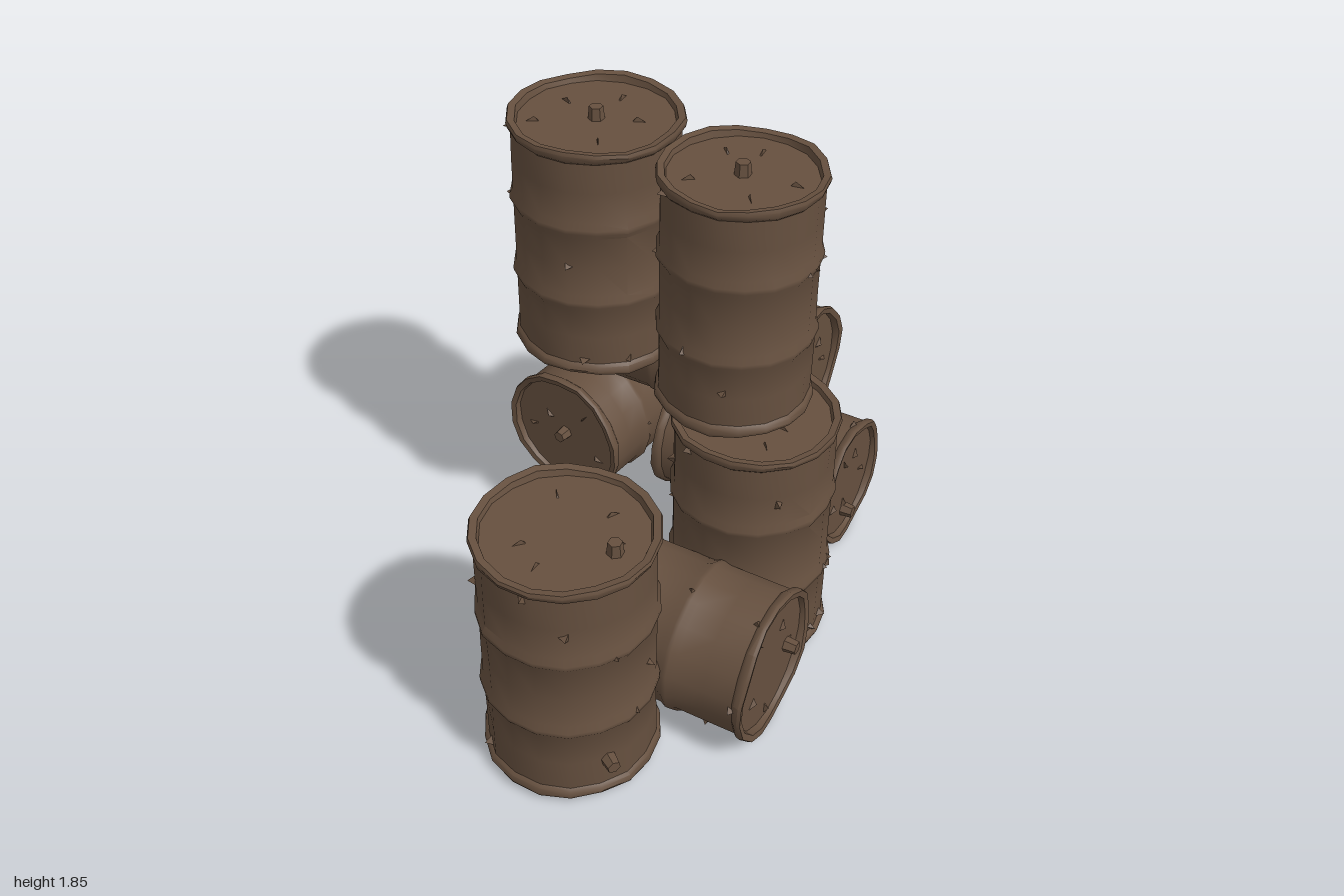
import * as THREE from 'three';
import { toCreasedNormals } from 'three/addons/utils/BufferGeometryUtils.js';

const rust = new THREE.MeshStandardMaterial({ color: 0x66503f });
rust.name = 'rustBrown';

const UP = new THREE.Vector3(0, 1, 0);

function seeded(seed) {
  let s = seed * 7919 + 13;
  return () => {
    s = (s * 16807) % 2147483647;
    return s / 2147483647;
  };
}

// Hollow-lidded drum with rims, two rolling hoops and slight dents; y runs from -h/2 to h/2
function drumGeometry(r, h, seed) {
  const t = h / 2, b = r * 0.95, lid = 0.025;
  const half = [
    [0, lid], [b * 0.5, lid], [b * 0.93, lid], [b * 0.95, 0.004], [r * 0.985, 0], [r, 0.012],
    [r * 0.985, 0.03], [b, 0.04], [b, h * 0.17], [b, h / 3 - 0.03], [r * 0.99, h / 3 - 0.008],
    [r * 0.99, h / 3 + 0.008], [b, h / 3 + 0.03],
  ];
  const points = half.map(([x, y]) => new THREE.Vector2(x, y - t));
  points.push(new THREE.Vector2(b, 0));
  for (const [x, y] of [...half].reverse()) points.push(new THREE.Vector2(x, t - y));
  const geo = new THREE.LatheGeometry(points, 18);
  const p = geo.attributes.position;
  for (let i = 0; i < p.count; i++) {
    const x = p.getX(i), y = p.getY(i), z = p.getZ(i), d = Math.hypot(x, z);
    if (d < 0.01) continue;
    const a = Math.atan2(x, z);
    const dent = Math.sin(a * 3 + seed + y * 7) * Math.sin(a * 5 - seed * 2 + y * 4);
    const k = 1 - 0.014 * Math.max(0, dent) + 0.006 * Math.sin(a * 7 + seed);
    const lift = Math.abs(y) > t - 0.02 ? 0.005 * Math.sin(a * 4 + seed * 3) : 0;
    p.setXYZ(i, x * k, y + lift, z * k);
  }
  geo.deleteAttribute('normal');
  geo.deleteAttribute('uv');
  return toCreasedNormals(geo, 0.65);
}

const bungGeo = new THREE.CylinderGeometry(0.024, 0.03, 0.06, 6).toNonIndexed();
bungGeo.computeVertexNormals();
const shardGeo = new THREE.ConeGeometry(0.032, 0.05, 3).toNonIndexed();
shardGeo.computeVertexNormals();

function addPart(parent, geo, name, pos, normal, spin = 0, scale = [1, 1, 1]) {
  const m = new THREE.Mesh(geo, rust);
  m.name = name;
  m.position.copy(pos);
  m.quaternion.setFromUnitVectors(UP, normal);
  m.rotateY(spin);
  m.scale.set(...scale);
  parent.add(m);
}

function makeBarrel({ name, r, h, at, dir = [0, 1, 0], lidBungs = [], sideBungs = [] }, seed) {
  const g = new THREE.Group();
  g.name = name;
  const rand = seeded(seed);
  const body = new THREE.Mesh(drumGeometry(r, h, seed), rust);
  body.name = 'drum';
  g.add(body);

  // Bungs on the lids [x, z, end] and on the side [x, z, height]
  for (const [x, z, end] of lidBungs)
    addPart(g, bungGeo, 'lidBung', new THREE.Vector3(x, end * (h / 2 - 0.01), z), new THREE.Vector3(0, end, 0), seed);
  for (const [x, z, y] of sideBungs) {
    const n = new THREE.Vector3(x, 0, z).normalize();
    addPart(g, bungGeo, 'sideBung', n.clone().multiplyScalar(r * 0.98).setY(y - h / 2), n, seed);
  }

  // Torn metal flakes on the side, near hoops and rims
  for (let i = 0; i < 11; i++) {
    const a = (i + rand() * 0.8) * 2.4;
    const n = new THREE.Vector3(Math.sin(a), 0, Math.cos(a));
    const row = [0.06, 0.2, 0.34, 0.5, 0.66, 0.8, 0.95][Math.floor(rand() * 7)];
    const pos = n.clone().multiplyScalar(r * 0.955).setY((row - 0.5) * h);
    addPart(g, shardGeo, 'sideFlake', pos, n, rand() * 6, [0.5 + rand() * 0.5, 0.8, 1]);
  }
  // Thin radial tears on both lids
  for (const end of [1, -1]) {
    if (end < 0 && dir[1] === 1) continue;
    for (let i = 0; i < 5; i++) {
      const a = i * 1.26 + rand() * 0.7, d = r * (0.3 + rand() * 0.45);
      const pos = new THREE.Vector3(Math.sin(a) * d, end * (h / 2 - 0.022), Math.cos(a) * d);
      addPart(g, shardGeo, 'lidTear', pos, new THREE.Vector3(0, end, 0), end * a, [0.2, 0.6, 1.5]);
    }
  }

  g.position.set(...at);
  g.quaternion.setFromUnitVectors(UP, new THREE.Vector3(...dir).normalize());
  return g;
}

const barrels = [
  // Standing barrels
  { name: 'leftStandingBarrel', r: 0.308, h: 0.94, at: [-0.68, 0.505, 0.435],
    lidBungs: [[0.06, 0.17, 1]], sideBungs: [[0.33, -0.1, 0.72], [-0.08, 0.32, 0.15]] },
  { name: 'centreStandingBarrel', r: 0.295, h: 0.94, at: [0.175, 0.5, 0.4],
    sideBungs: [[0.29, 0.13, 0.15]] },
  { name: 'frontTopBarrel', r: 0.277, h: 0.87, at: [0.2, 1.405, 0.26],
    lidBungs: [[0, 0, 1]], sideBungs: [[0.27, 0.02, 0.65]] },
  { name: 'backTopBarrel', r: 0.303, h: 0.87, at: [0.085, 1.405, -0.32],
    lidBungs: [[0, 0, 1]], sideBungs: [[0.22, 0.2, 0.38], [0.25, 0.14, 0.15]] },
  // Lying barrels
  { name: 'frontLyingBarrel', r: 0.277, h: 0.87, at: [-0.275, 0.295, 0.445], dir: [0.32, 0, 0.88],
    lidBungs: [[0.13, -0.02, 1], [0, 0.1, -1]] },
  { name: 'upperLyingBarrel', r: 0.262, h: 0.82, at: [0.525, 0.77, -0.18], dir: [0.26, 0, 0.78],
    lidBungs: [[-0.15, 0, 1]], sideBungs: [[0.2, -0.15, 0.55]] },
  { name: 'lowerLyingBarrel', r: 0.255, h: 0.755, at: [0.655, 0.265, 0], dir: [0.25, 0, 0.72],
    lidBungs: [[0.03, 0.13, 1]] },
  { name: 'backLyingBarrel', r: 0.272, h: 0.67, at: [0.42, 0.285, -0.655], dir: [0.97, 0, -0.21],
    lidBungs: [[0, 0, 1], [0, 0, -1]] },
];

export function createModel() {
  const model = new THREE.Group();
  model.name = 'barrelPile';
  barrels.forEach((b, i) => model.add(makeBarrel(b, i + 1)));
  return model;
}
